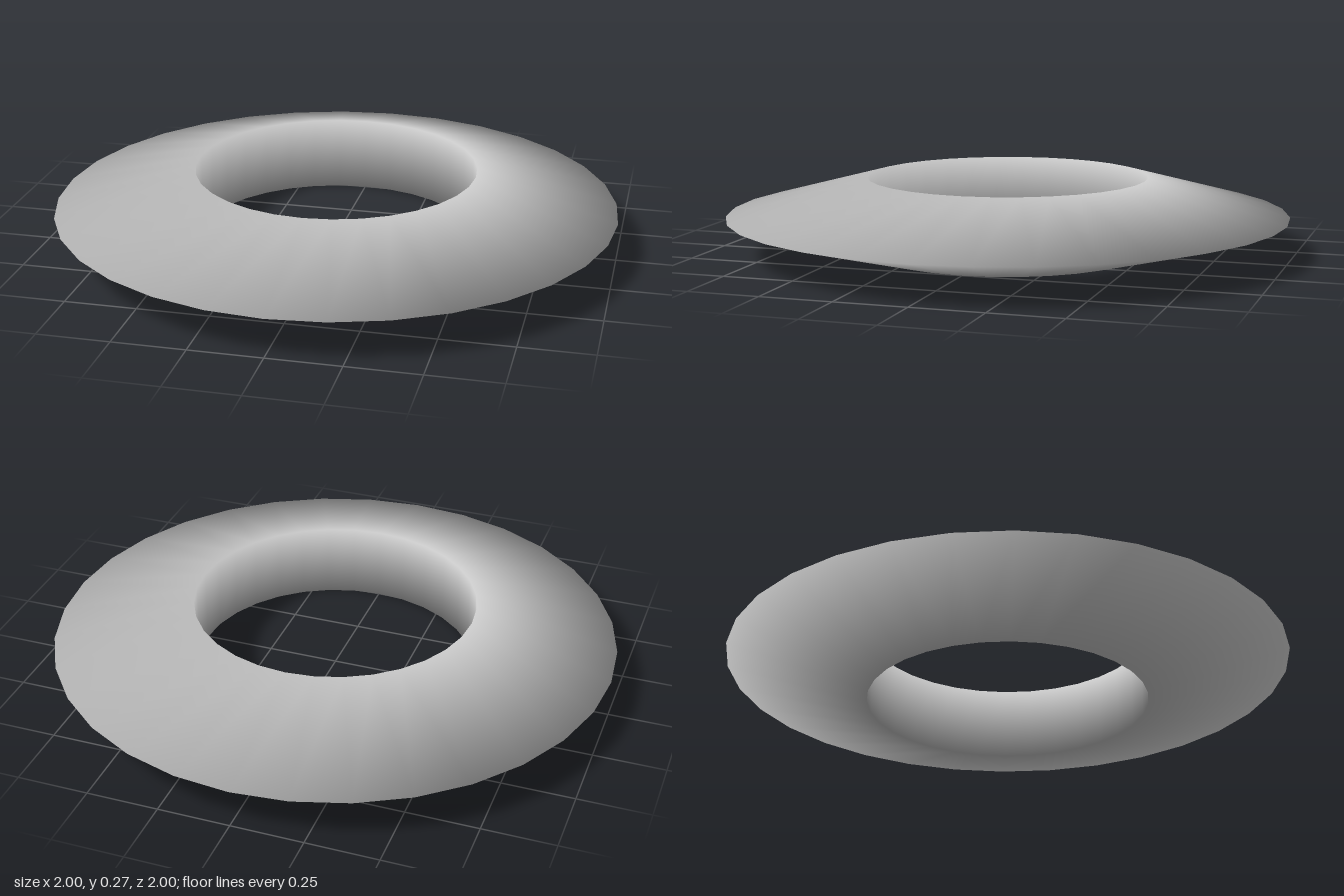
import * as THREE from 'three';

const HEIGHT = 0.267;
const TUBE = 1 / 3; // tube circumradius: a triangle spanning radii 0.5 to 1

export function createModel() {
  const group = new THREE.Group();
  group.name = 'ringModel';

  // Three-sided torus laid flat, with its point outwards, squashed to a thin ring
  const geometry = new THREE.TorusGeometry(1 - TUBE, TUBE, 3, 32);
  geometry.rotateX(-Math.PI / 2);
  geometry.scale(1, HEIGHT / (TUBE * Math.sqrt(3)), 1);
  geometry.translate(0, HEIGHT / 2, 0);

  const ring = new THREE.Mesh(geometry, new THREE.MeshStandardMaterial({ color: 0xcccccc }));
  ring.name = 'ring';
  group.add(ring);
  return group;
}
